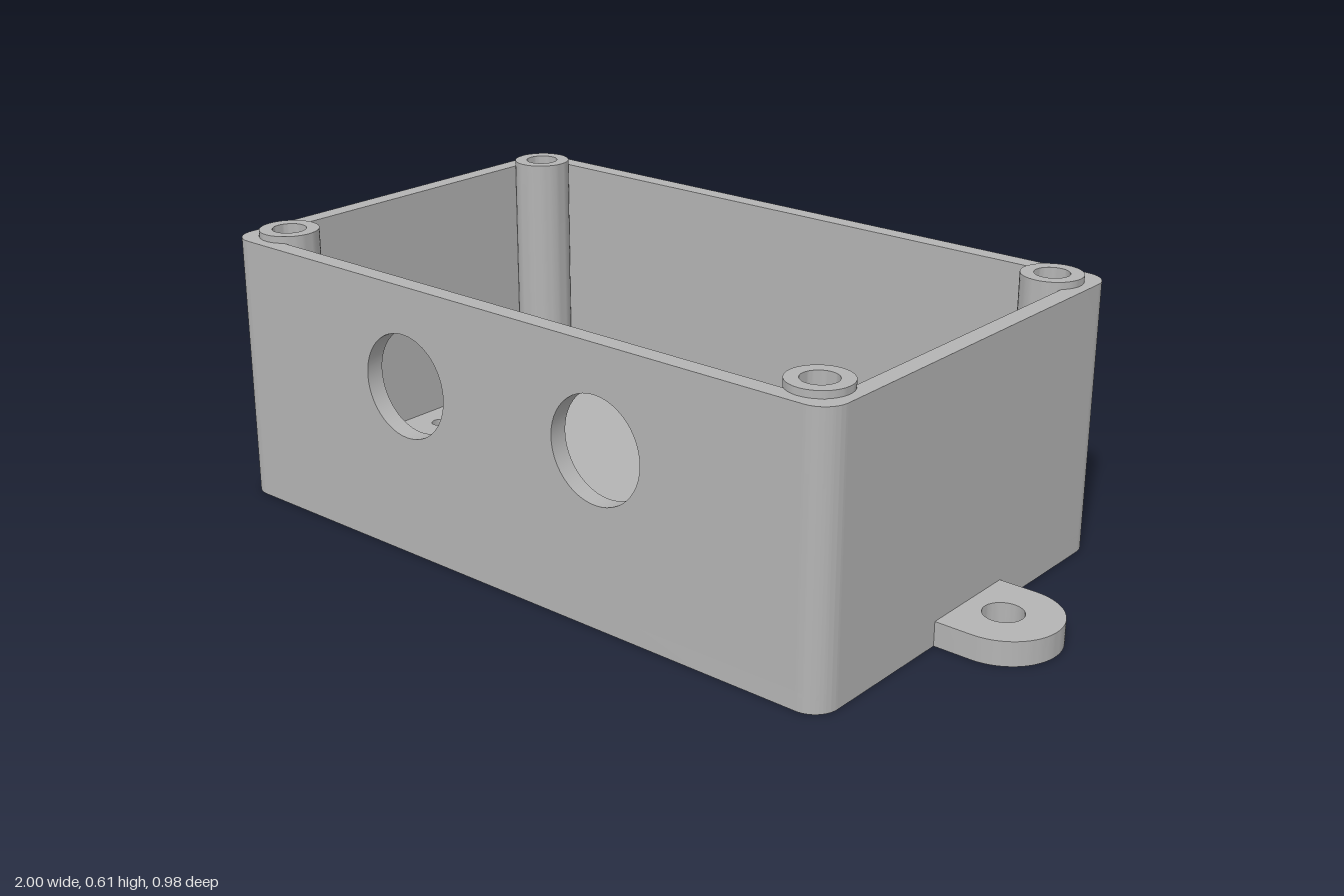
import * as THREE from 'three';
import { toCreasedNormals } from 'three/addons/utils/BufferGeometryUtils.js';

const W = 0.8, D = 0.488, WALL = 0.04, FLOOR = 0.04, RIM = 0.595, R = 0.055;
const PI = Math.PI;

// Extrude a shape with crisp edges and smooth curves
function extrude(shape, depth) {
  const g = new THREE.ExtrudeGeometry(shape, { depth, bevelEnabled: false, curveSegments: 24 });
  return toCreasedNormals(g, 0.6);
}

// Extrude a plan shape (x, -z) upwards from y0 to y1
function plan(shape, y0, y1) {
  return extrude(shape, y1 - y0).rotateX(-PI / 2).translate(0, y0, 0);
}

function addHole(shape, x, y, r) {
  shape.holes.push(new THREE.Path().absarc(x, y, r, 0, PI * 2, true));
}

// Outer outline, counter-clockwise from the front right corner of the plan
function outline() {
  const s = new THREE.Shape();
  const cx = W - R, cy = D - R;
  s.moveTo(cx, -D);
  s.absarc(cx, -cy, R, -PI / 2, 0, false);
  s.absarc(cx, cy, R, 0, PI / 2, false);
  s.absarc(-cx, cy, R, PI / 2, PI, false);
  s.absarc(-cx, -cy, R, PI, PI * 1.5, false);
  return s;
}

export function createModel() {
  const model = new THREE.Group();
  model.name = 'enclosure';
  const grey = new THREE.MeshStandardMaterial({ color: 0xb4b4b4 });
  grey.name = 'grey plastic';

  function add(name, geometry) {
    const mesh = new THREE.Mesh(geometry, grey);
    mesh.name = name;
    model.add(mesh);
    return mesh;
  }

  // Floor with a small drain hole
  const floor = outline();
  addHole(floor, -0.69, 0, 0.019);
  add('floor', plan(floor, 0, FLOOR));

  // Back and side walls, including all four rounded corners
  const ix = W - WALL, iz = D - WALL, px = W - R;
  const walls = outline();
  [[-px, -iz], [-ix, -iz], [-ix, iz], [ix, iz], [ix, -iz], [px, -iz]]
    .forEach(([x, y]) => walls.lineTo(x, y));
  walls.closePath();
  add('backAndSideWalls', plan(walls, FLOOR, RIM));

  // Front wall with two cable openings
  const front = new THREE.Shape();
  front.moveTo(-px, FLOOR);
  front.lineTo(px, FLOOR);
  front.lineTo(px, RIM);
  front.lineTo(-px, RIM);
  front.closePath();
  for (const s of [-1, 1]) addHole(front, s * 0.262, 0.378, 0.113);
  add('frontWall', extrude(front, WALL).translate(0, 0, iz));

  // Hollow screw posts standing slightly above the rim
  const ring = new THREE.Shape().absarc(0, 0, 0.065, 0, PI * 2, false);
  addHole(ring, 0, 0, 0.037);
  const postGeometry = plan(ring, FLOOR, 0.61);
  for (const sx of [-1, 1]) {
    for (const sz of [-1, 1]) {
      add('screwPost', postGeometry).position.set(sx * 0.713, 0, sz * 0.398);
    }
  }

  // Rounded mounting tabs on both ends
  const tab = new THREE.Shape();
  tab.moveTo(W, -0.118);
  tab.lineTo(0.882, -0.118);
  tab.absarc(0.882, 0, 0.118, -PI / 2, PI / 2, false);
  tab.lineTo(W, 0.118);
  tab.closePath();
  addHole(tab, 0.88, 0, 0.042);
  const tabGeometry = plan(tab, 0, 0.053);
  add('leftMountingTab', tabGeometry);
  add('rightMountingTab', tabGeometry).rotation.y = PI;

  return model;
}
